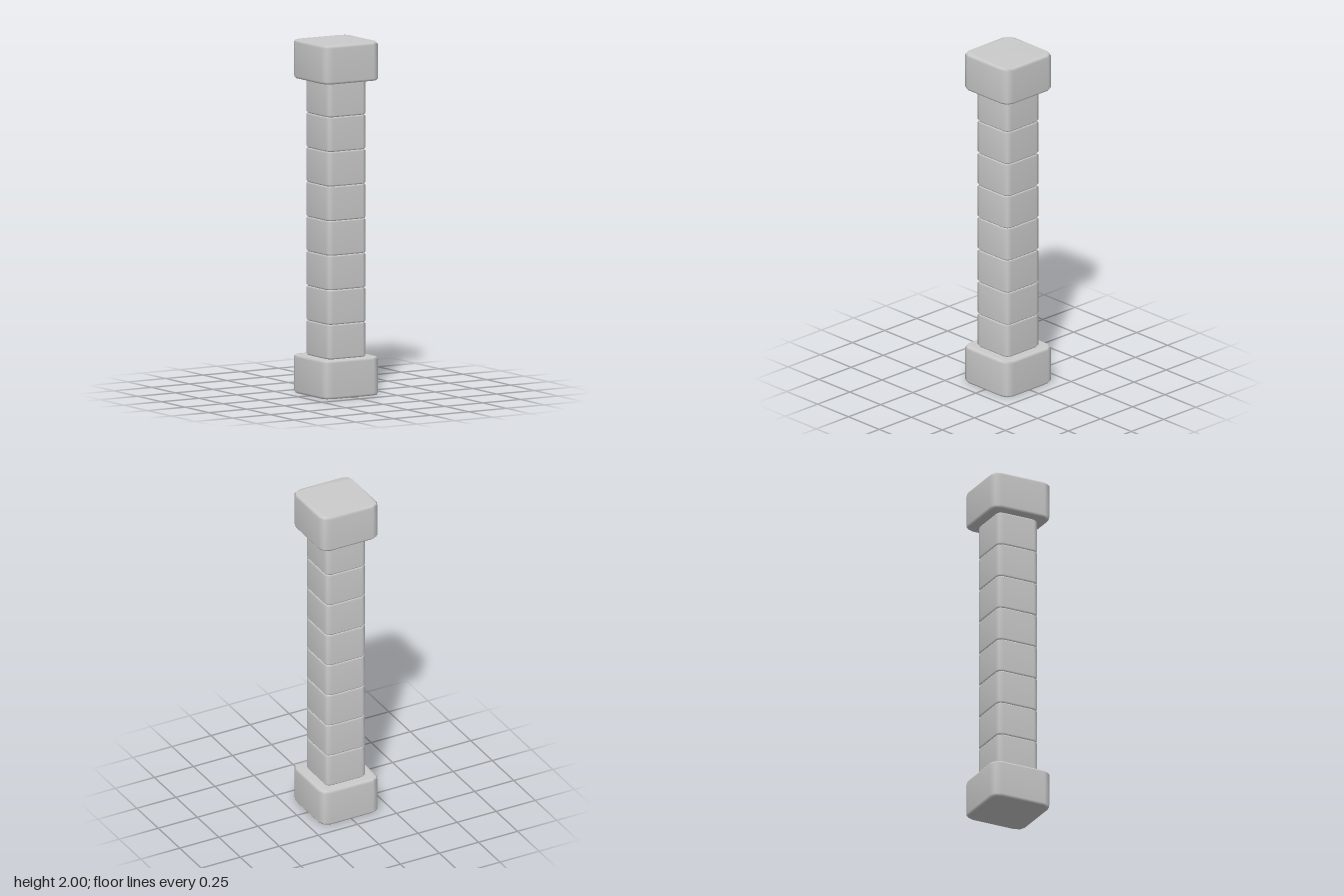
import * as THREE from 'three';
import { mergeVertices } from 'three/addons/utils/BufferGeometryUtils.js';

const material = new THREE.MeshStandardMaterial({ color: 0xcccccc });

// Square stone with two-step rounded corners and a small bevel at top and bottom.
function stoneGeometry(half, height, corner, inset, rise) {
  const outline = [];
  const c = half - corner;
  for (let side = 0; side < 4; side++) {
    for (let step = 0; step < 3; step++) {
      const a = (side + step / 2) * Math.PI / 2;
      const center = (side + 0.5) * Math.PI / 2;
      outline.push(new THREE.Vector2(
        Math.sign(Math.cos(center)) * c + Math.cos(a) * corner,
        Math.sign(Math.sin(center)) * c + Math.sin(a) * corner
      ));
    }
  }
  const geometry = new THREE.ExtrudeGeometry(new THREE.Shape(outline), {
    depth: height - 2 * rise,
    bevelThickness: rise,
    bevelSize: inset,
    bevelOffset: -inset,
    bevelSegments: 1
  });
  geometry.translate(0, 0, rise).rotateX(-Math.PI / 2);
  // Weld the faces so that the shading is smooth across the edges
  geometry.deleteAttribute('normal');
  geometry.deleteAttribute('uv');
  const welded = mergeVertices(geometry, 1e-4);
  welded.computeVertexNormals();
  return welded;
}

export function createModel() {
  const group = new THREE.Group();
  const add = (name, geometry, y) => {
    const mesh = new THREE.Mesh(geometry, material);
    mesh.name = name;
    mesh.position.y = y;
    group.add(mesh);
  };

  // Base and capital
  const capHeight = 0.216;
  const cap = stoneGeometry(0.187, capHeight, 0.053, 0.009, 0.013);
  add('base', cap, 0);
  add('capital', cap, 2 - capHeight);

  // Stacked shaft stones
  const count = 8;
  const stoneHeight = (2 - 2 * capHeight) / count;
  const stone = stoneGeometry(0.13, stoneHeight, 0.034, 0.007, 0.009);
  for (let i = 0; i < count; i++) {
    add(`shaftStone${i + 1}`, stone, capHeight + i * stoneHeight);
  }
  return group;
}
